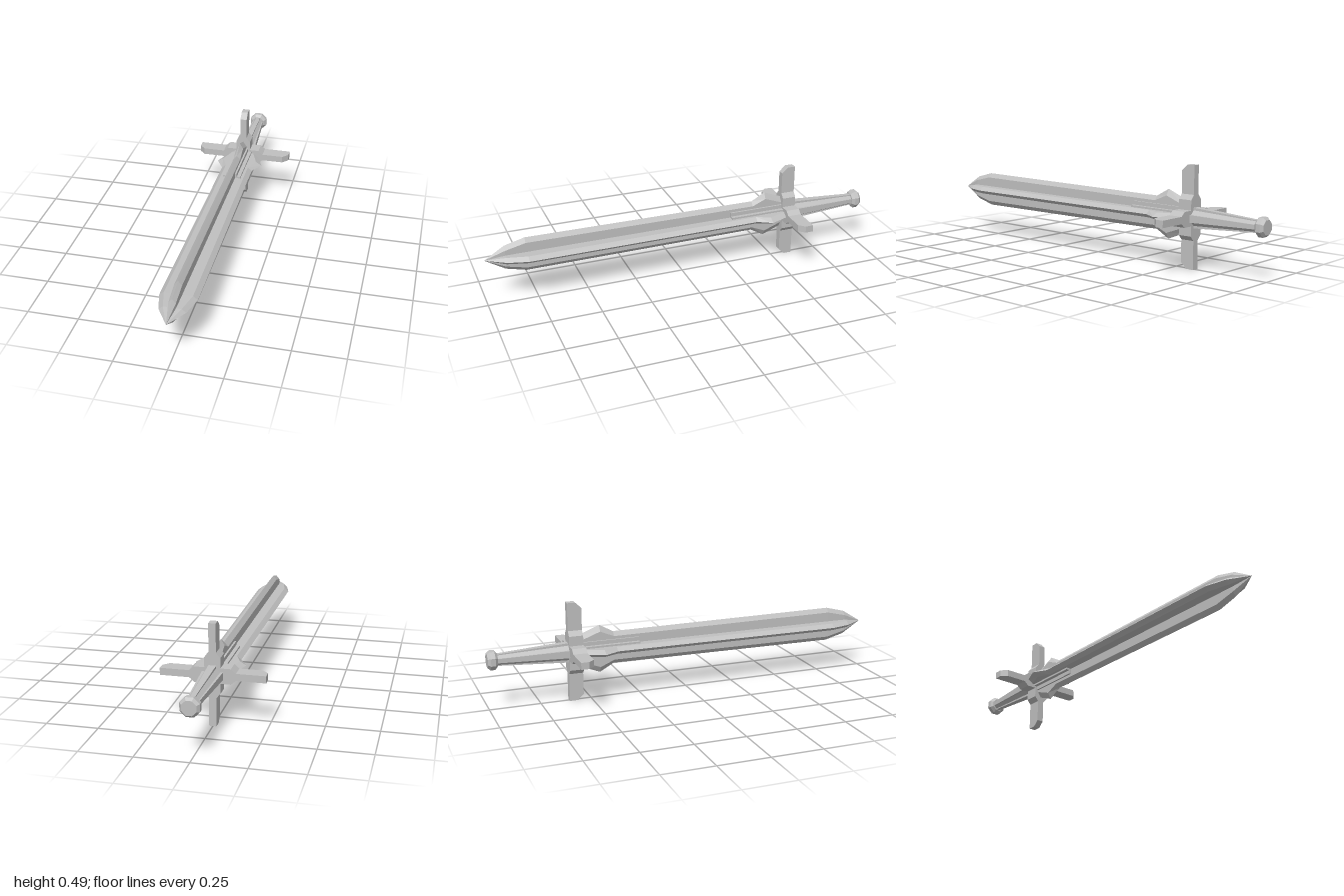
import * as THREE from 'three';

const steel = new THREE.MeshStandardMaterial({ color: 0xc0c0c0, flatShading: true });
steel.name = 'grey steel';

// Repeats the outline of one arm (along +x) around the z axis
function fourArms(arm) {
  const ring = [];
  for (let k = 0; k < 4; k++) {
    const c = [1, 0, -1, 0][k], s = [0, 1, 0, -1][k];
    for (const [x, y] of arm) ring.push([x * c - y * s, x * s + y * c]);
  }
  return ring;
}

function octagon(r) {
  return Array.from({ length: 8 }, (_, i) => {
    const a = (i + 0.5) * Math.PI / 4;
    return [r * Math.cos(a), r * Math.sin(a)];
  });
}

// Skins counter-clockwise rings, ordered from back to front, with end caps
function loft(name, sections) {
  const pos = [];
  const put = (p, z) => pos.push(p[0], p[1], z);
  for (let k = 0; k + 1 < sections.length; k++) {
    const [za, a] = sections[k], [zb, b] = sections[k + 1];
    for (let i = 0; i < a.length; i++) {
      const j = (i + 1) % a.length;
      put(a[i], za); put(a[j], za); put(b[j], zb);
      put(a[i], za); put(b[j], zb); put(b[i], zb);
    }
  }
  const cap = ([z, ring], front) => {
    if (ring.every(p => Math.hypot(p[0], p[1]) < 0.001)) return;
    const pts = ring.map(p => new THREE.Vector2(p[0], p[1]));
    for (const [a, b, c] of THREE.ShapeUtils.triangulateShape(pts, [])) {
      for (const i of front ? [a, b, c] : [c, b, a]) put(ring[i], z);
    }
  };
  cap(sections[0], false);
  cap(sections[sections.length - 1], true);
  const geo = new THREE.BufferGeometry();
  geo.setAttribute('position', new THREE.Float32BufferAttribute(pos, 3));
  geo.computeVertexNormals();
  const mesh = new THREE.Mesh(geo, steel);
  mesh.name = name;
  return mesh;
}

// Cross-sections: sharp-edged fins, plain cross, and the guard outline
const fins = (outer, inner, t) => fourArms([[t, -t], [inner, -t], [outer, 0], [inner, t]]);
const cross = (r, t) => fourArms([[t, -t], [r, -t], [r, t]]);
const guardRing = r => fourArms([
  [0.037, -0.037], [0.085, -0.037], [0.108, -0.017], [r, -0.017],
  [r, 0.017], [0.108, 0.017], [0.085, 0.037],
]);

export function createModel() {
  const sword = new THREE.Group();
  sword.name = 'sword';

  // Four-edged blade with a flare near the guard
  sword.add(loft('blade', [
    [-0.55, fins(0.08, 0.053, 0.018)],
    [-0.45, fins(0.12, 0.09, 0.018)],
    [-0.38, fins(0.081, 0.06, 0.018)],
    [0.8, fins(0.088, 0.066, 0.018)],
    [0.9, fins(0.062, 0.042, 0.017)],
    [1, fins(0, 0, 0)],
  ]));

  // Sleeve around the base of the blade
  sword.add(loft('collar', [
    [-0.55, cross(0.046, 0.027)],
    [-0.255, cross(0.046, 0.027)],
  ]));

  // Four guard arms, bevelled at their front ends
  sword.add(loft('guard', [
    [-0.61, guardRing(0.2455)],
    [-0.57, guardRing(0.2455)],
    [-0.54, guardRing(0.217)],
  ]));

  // Tapered grip with raised ribs
  sword.add(loft('grip', [
    [-0.97, octagon(0.025)],
    [-0.6, octagon(0.042)],
  ]));
  sword.add(loft('gripRibs', [
    [-0.97, cross(0.027, 0.01)],
    [-0.6, cross(0.049, 0.018)],
  ]));

  // Bevelled pommel
  sword.add(loft('pommel', [
    [-1, octagon(0.036)],
    [-0.987, octagon(0.048)],
    [-0.965, octagon(0.048)],
    [-0.952, octagon(0.034)],
  ]));

  sword.position.y = 0.2455;
  const model = new THREE.Group();
  model.add(sword);
  return model;
}
